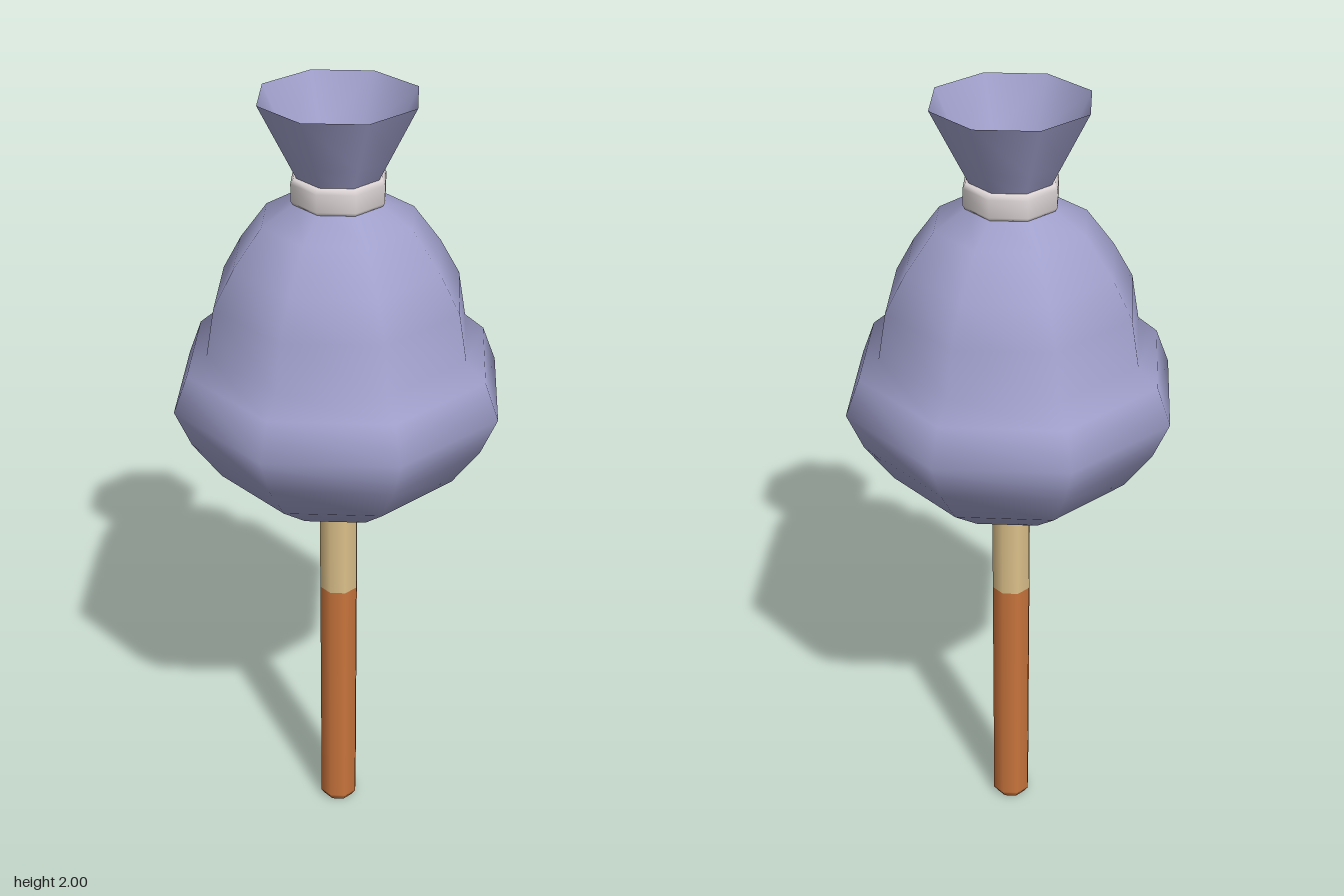
import * as THREE from 'three';

const SIDES = 8;

function material(name, color, side = THREE.FrontSide) {
  const m = new THREE.MeshStandardMaterial({ color, side });
  m.name = name;
  return m;
}

export function createModel() {
  const group = new THREE.Group();
  const cloth = material('lavender wrapper', 0xa0a0cc, THREE.DoubleSide);
  const band = material('pale tie', 0xdcd4d4);
  const wood = material('bare stick', 0xdcc08a);
  const grip = material('orange grip', 0xc8743c);
  const candy = material('purple filling', 0x63367a);

  // Turned part from [radius, height] pairs, listed bottom to top
  const turned = (name, profile, mat) => {
    const points = profile.map(([r, y]) => new THREE.Vector2(r, y));
    const mesh = new THREE.Mesh(new THREE.LatheGeometry(points, SIDES), mat);
    mesh.name = name;
    group.add(mesh);
  };

  // Two-tone stick with a slightly bevelled foot
  turned('stickGrip', [[0, 0], [0.04, 0], [0.04, 0], [0.05, 0.015], [0.05, 0.02], [0.05, 0.7]], grip);
  turned('stickTop', [[0.05, 0.7], [0.05, 0.95]], wood);

  // Bulging wrapper with a fold above its widest line
  turned('wrapperBody', [
    [0.05, 0.925], [0.19, 1.0], [0.3, 1.085], [0.37, 1.185], [0.41, 1.28],
    [0.375, 1.37], [0.325, 1.415], [0.305, 1.53], [0.255, 1.62],
    [0.185, 1.715], [0.1, 1.765], [0.09, 1.8],
  ], cloth);

  // Flared, open end of the wrapper
  turned('wrapperFlare', [[0.09, 1.8], [0.125, 1.87], [0.19, 2]], cloth);

  // Gathered cloth inside the flare, around the filling
  turned('wrapperGather', [[0.125, 1.87], [0.1, 1.885], [0.072, 1.89]], cloth);
  const filling = new THREE.Mesh(new THREE.CircleGeometry(0.072, SIDES), candy);
  filling.name = 'filling';
  filling.rotation.x = -Math.PI / 2;
  filling.position.y = 1.89;
  group.add(filling);

  // Rounded tie around the neck
  turned('neckTie', [
    [0.085, 1.757], [0.108, 1.757], [0.115, 1.768], [0.115, 1.81], [0.108, 1.821], [0.085, 1.821],
  ], band);

  return group;
}
